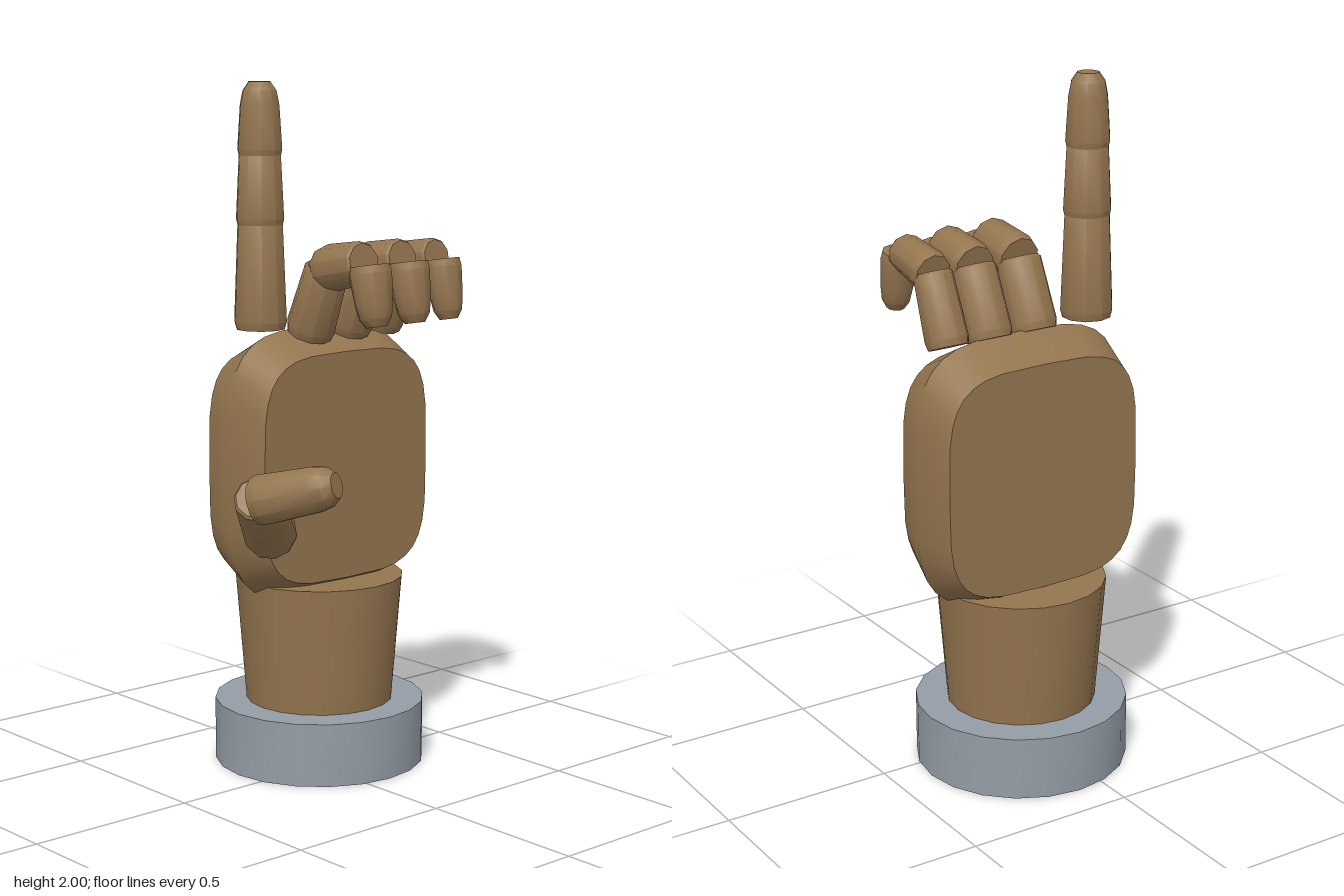
import * as THREE from 'three';
import { toCreasedNormals } from 'three/addons/utils/BufferGeometryUtils.js';

const wood = new THREE.MeshStandardMaterial({ color: 0x94754f });
wood.name = 'wood brown';
const metal = new THREE.MeshStandardMaterial({ color: 0x949da6 });
metal.name = 'base grey';

const SIDES = 10;
const CX = 0.08, CZ = -0.085; // axis shared by base, wrist and palm

function addMesh(parent, name, geometry, material, crease = 0.65) {
  const mesh = new THREE.Mesh(toCreasedNormals(geometry, crease), material);
  mesh.name = name;
  parent.add(mesh);
  return mesh;
}

// Tapered peg with a chamfered lower rim; a tip also narrows to a blunt end
function segment(parent, name, from, to, r0, r1, tip = false) {
  const a = new THREE.Vector3(...from), b = new THREE.Vector3(...to);
  const dir = b.clone().sub(a), len = dir.length();
  const points = [[0, 0], [r0 * 0.92, 0], [r0, 0.022]];
  if (tip) points.push([r1, len - 0.065], [r1 * 0.86, len - 0.025], [r1 * 0.55, len], [0, len]);
  else points.push([r1, len - 0.008], [r1 * 0.9, len], [0, len]);
  const geometry = new THREE.LatheGeometry(points.map(p => new THREE.Vector2(...p)), SIDES);
  const mesh = addMesh(parent, name, geometry, wood);
  mesh.position.copy(a);
  mesh.quaternion.setFromUnitVectors(new THREE.Vector3(0, 1, 0), dir.normalize());
}

// Rounded-square slab, widest at its middle section
function palmGeometry() {
  const N = 32;
  const sections = [ // z, half width, half height, roundness exponent
    [-0.21, 0.313, 0.333, 4], [CZ, 0.347, 0.397, 3.7], [0.04, 0.313, 0.333, 4],
  ];
  const pos = [], index = [];
  for (const [z, w, h, n] of sections) {
    for (let i = 0; i < N; i++) {
      const t = (i / N) * Math.PI * 2, c = Math.cos(t), s = Math.sin(t);
      pos.push(CX + w * Math.sign(c) * Math.abs(c) ** (2 / n),
        0.9 + h * Math.sign(s) * Math.abs(s) ** (2 / n), z);
    }
  }
  for (let k = 0; k < 2; k++) {
    for (let i = 0; i < N; i++) {
      const j = (i + 1) % N, a = k * N + i, b = k * N + j;
      index.push(a, b, b + N, a, b + N, a + N);
    }
  }
  // Flat back and front faces
  pos.push(CX, 0.9, -0.21, CX, 0.9, 0.04);
  for (let i = 0; i < N; i++) {
    const j = (i + 1) % N;
    index.push(3 * N, j, i, 3 * N + 1, 2 * N + i, 2 * N + j);
  }
  const g = new THREE.BufferGeometry();
  g.setAttribute('position', new THREE.Float32BufferAttribute(pos, 3));
  g.setIndex(index);
  return g;
}

export function createModel() {
  const model = new THREE.Group();
  model.name = 'jointedHand';

  // Base, wrist and palm
  addMesh(model, 'base', new THREE.CylinderGeometry(0.31, 0.31, 0.185, 20), metal)
    .position.set(CX, 0.0925, CZ);
  addMesh(model, 'wrist', new THREE.CylinderGeometry(0.247, 0.217, 0.375, 20), wood)
    .position.set(CX, 0.3725, CZ);
  addMesh(model, 'palm', palmGeometry(), wood);

  // Straight pointing finger
  const index = new THREE.Group();
  index.name = 'indexFinger';
  const ix = -0.144, iz = -0.083;
  segment(index, 'lowerSegment', [ix, 1.305, iz], [ix, 1.61, iz], 0.077, 0.066);
  segment(index, 'middleSegment', [ix, 1.595, iz], [ix, 1.805, iz], 0.070, 0.061);
  segment(index, 'fingertip', [ix, 1.79, iz], [ix, 2.0, iz], 0.065, 0.057, true);
  model.add(index);

  // Three curled fingers
  const curled = [['middleFinger', 0.018, 0.072], ['ringFinger', 0.166, 0.07], ['littleFinger', 0.3, 0.063]];
  for (const [name, x, r] of curled) {
    const finger = new THREE.Group();
    finger.name = name;
    segment(finger, 'lowerSegment', [x, 1.28, -0.06], [x, 1.475, 0.02], r, r * 0.9);
    segment(finger, 'middleSegment', [x, 1.472, 0.015], [x, 1.502, 0.175], r * 0.95, r * 0.85);
    segment(finger, 'fingertip', [x, 1.495, 0.197], [x, 1.325, 0.227], r * 0.86, r * 0.76, true);
    model.add(finger);
  }

  // Thumb reaching sideways and forward
  const thumb = new THREE.Group();
  thumb.name = 'thumb';
  segment(thumb, 'lowerSegment', [-0.205, 0.728, 0.035], [-0.35, 0.88, 0.15], 0.077, 0.07);
  segment(thumb, 'fingertip', [-0.365, 0.875, 0.165], [-0.268, 0.937, 0.382], 0.073, 0.066, true);
  model.add(thumb);

  return model;
}
